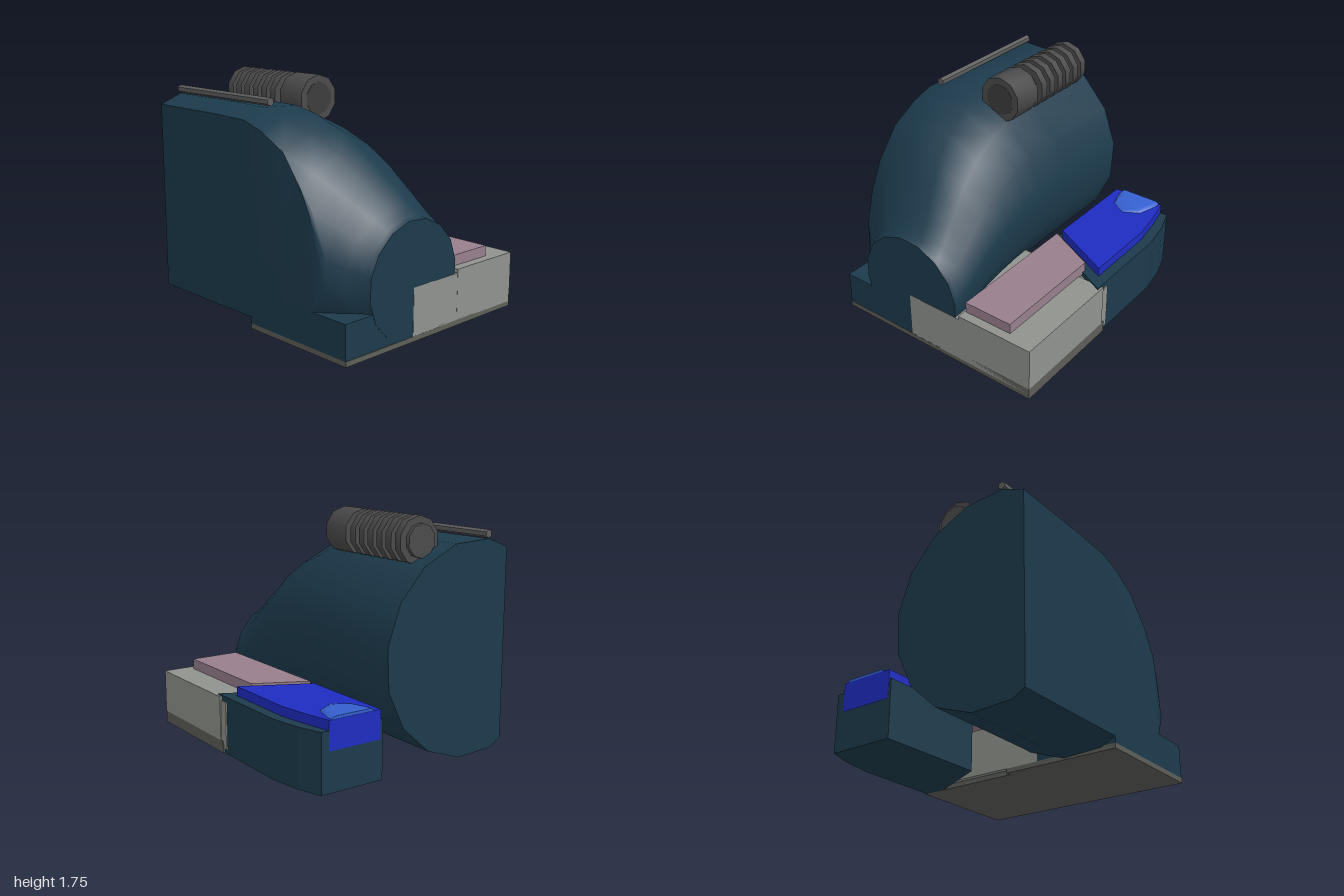
import * as THREE from 'three';
import { toCreasedNormals } from 'three/addons/utils/BufferGeometryUtils.js';

const mat = (color) => new THREE.MeshStandardMaterial({ color });
const NAVY = mat(0x1c3a4c), GREY = mat(0x8f928d), DARK = mat(0x5c5e58);
const PINK = mat(0x977f8c), BLUE = mat(0x1e2cc0), GLASS = mat(0x3560d0), METAL = mat(0x4a4a4a);
const CUT = -0.86; // flat side of the hull

// Circular hull section with 16 sides, cut flat at x = CUT
function section(z, r) {
  const cx = 0.215 - r, cy = r + 0.005, pts = [];
  for (let j = 0; j < 16; j++) {
    const a = THREE.MathUtils.degToRad(8.5 + j * 22.5);
    let x = cx + r * Math.cos(a), y = cy + r * Math.sin(a);
    if (x < CUT) {
      const h = 0.97 * Math.sqrt(Math.max(0, r * r - (CUT - cx) ** 2));
      y = cy + Math.sign(Math.sin(a)) * h;
      x = CUT;
    }
    pts.push([x, Math.max(0.005, y), z]);
  }
  return pts;
}

// Loft through sections ordered from front to back, with closed ends
function loft(sections) {
  const n = sections[0].length, pos = sections.flat(2), idx = [];
  for (let i = 0; i < sections.length - 1; i++) {
    for (let j = 0; j < n; j++) {
      const a = i * n + j, b = i * n + (j + 1) % n;
      idx.push(a, a + n, b, b, a + n, b + n);
    }
  }
  const last = (sections.length - 1) * n;
  for (let j = 1; j < n - 1; j++) {
    idx.push(0, j, j + 1, last, last + j + 1, last + j);
  }
  const g = new THREE.BufferGeometry();
  g.setAttribute('position', new THREE.Float32BufferAttribute(pos, 3));
  g.setIndex(idx);
  return toCreasedNormals(g, 0.7);
}

// Upright prism from an outline of [x, z] points
function prism(outline, y0, y1) {
  const shape = new THREE.Shape(outline.map(([x, z]) => new THREE.Vector2(x, -z)));
  const g = new THREE.ExtrudeGeometry(shape, { depth: y1 - y0, bevelEnabled: false });
  return g.rotateX(-Math.PI / 2).translate(0, y0, 0);
}

// Box from its limits
function box(x0, x1, y0, y1, z0, z1) {
  return new THREE.BoxGeometry(x1 - x0, y1 - y0, z1 - z0)
    .translate((x0 + x1) / 2, (y0 + y1) / 2, (z0 + z1) / 2);
}

// Cylinder lying along z
function barrel(r, sides, x, y, z0, z1) {
  const g = new THREE.CylinderGeometry(r, r, z1 - z0, sides).rotateX(Math.PI / 2);
  return toCreasedNormals(g.translate(x, y, (z0 + z1) / 2), 0.8);
}

export function createModel() {
  const group = new THREE.Group();
  const add = (name, geometry, material, parent = group) => {
    const m = new THREE.Mesh(geometry, material);
    m.name = name;
    parent.add(m);
    return m;
  };

  // Rounded hull tapering to the front
  const profile = [[0.997, 0.43], [0.96, 0.438], [0.88, 0.473], [0.78, 0.53], [0.68, 0.583], [0.58, 0.638],
    [0.4, 0.707], [0.18, 0.758], [0, 0.78], [-0.3, 0.784], [-1, 0.785]];
  add('hull', loft(profile.map(([z, r]) => section(z, r))), NAVY);

  // Base under the front half
  add('basePlateSide', box(CUT, 0.05, 0, 0.038, 0.04, 1), DARK);
  add('basePlate', box(0.05, 0.855, 0, 0.09, 0.08, 0.999), DARK);
  add('sideBase', box(CUT, -0.22, 0.038, 0.29, 0.04, 0.995), NAVY);
  add('lowerBlock', box(-0.22, 0.85, 0.035, 0.39, 0.04, 0.999), GREY);
  add('upperBlock', box(0.24, 0.857, 0.09, 0.42, 0.11, 1), GREY);

  // Rear side block with its blue cover
  add('rearBlock', prism([[0.22, -0.15], [0.84, 0.16], [0.84, -0.58], [0.8, -0.82], [0.74, -1], [0.24, -1]], 0, 0.43), NAVY);
  add('blueCover', prism([[0.26, -0.22], [0.76, 0.03], [0.76, -0.57], [0.72, -0.82], [0.68, -1], [0.26, -1]], 0.42, 0.5), BLUE);
  add('blueBackPanel', box(0.26, 0.68, 0.29, 0.5, -1.002, -0.98), BLUE);

  // Pink pad on the front block
  add('pinkPad', prism([[0.25, -0.16], [0.64, 0.03], [0.64, 0.93], [0.25, 0.93]], 0.41, 0.5), PINK);

  // Low faceted window: outer outline shrinking to a raised top
  const outline = [[0.31, -1], [0.31, -0.95], [0.36, -0.79], [0.485, -0.72], [0.61, -0.79], [0.66, -0.95], [0.66, -1]];
  const ring = (s, y) => outline.map(([x, z]) => [0.485 + (x - 0.485) * s, -1 + (z + 1) * s, y]);
  const windowGeo = loft([ring(0.8, 0.52), ring(0.93, 0.512), ring(1, 0.495)]
    .map((r) => r.map(([x, z, y]) => [x, -z, y])));
  add('window', windowGeo.rotateX(-Math.PI / 2), GLASS);

  // Ribbed vent on top of the hull
  const vent = new THREE.Group();
  vent.name = 'vent';
  group.add(vent);
  const vx = -0.172, vy = 1.575;
  add('ventCore', barrel(0.12, 10, vx, vy, -0.885, -0.2), METAL, vent);
  add('ventHead', barrel(0.172, 10, vx, vy, -0.24, 0), METAL, vent);
  add('ventFace', barrel(0.12, 10, vx, vy, -0.02, 0.002), mat(0x3c3c3c), vent);
  for (let i = 0; i < 6; i++) {
    const z = -0.325 - i * 0.1;
    add('ventRib', barrel(0.172, 10, vx, vy, z - 0.03, z + 0.03), METAL, vent);
  }

  // Thin rod along the top
  add('rod', barrel(0.03, 6, -0.68, 1.6, -1, 0.07), mat(0x5e5e5e));

  return group;
}
